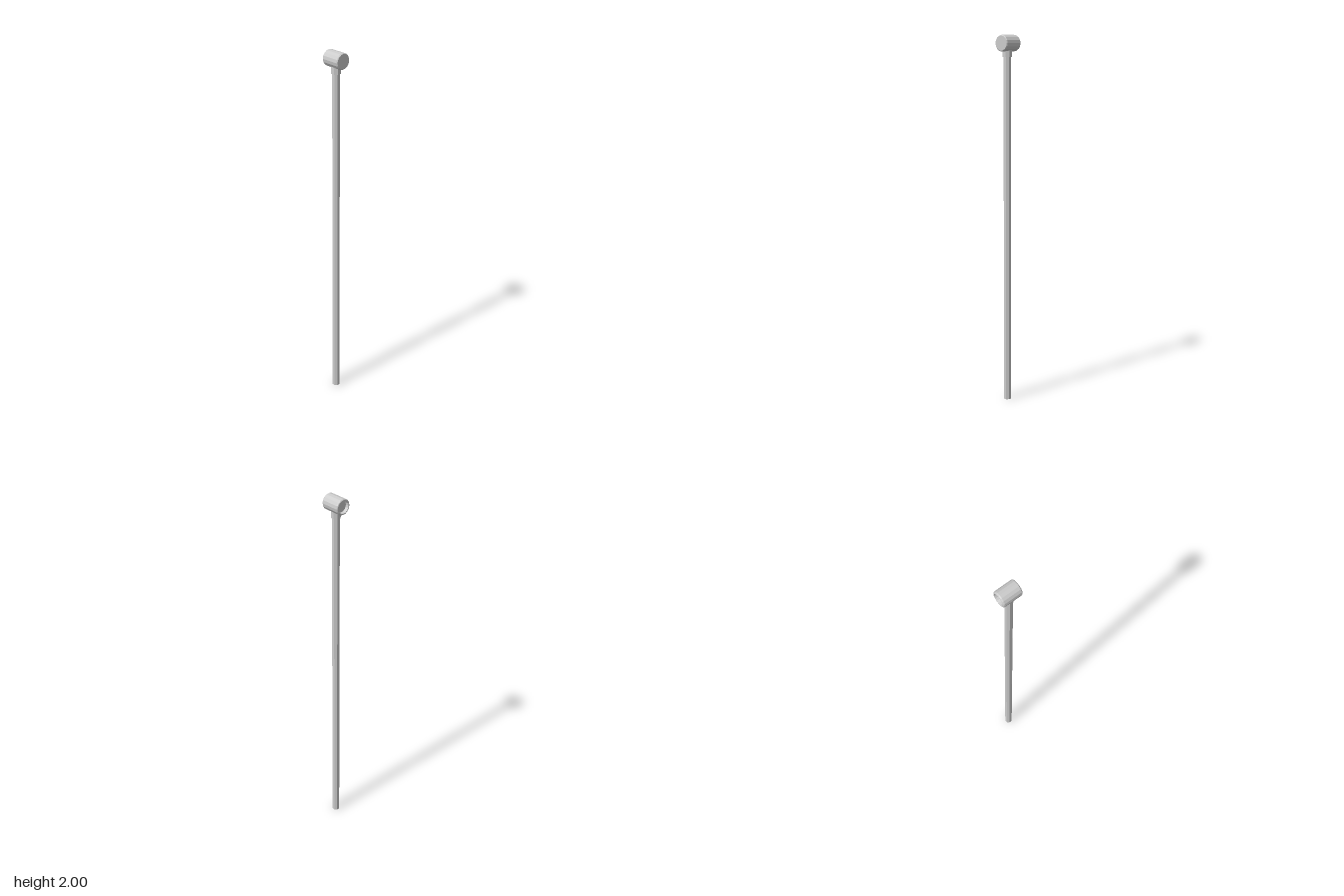
import * as THREE from 'three';

const material = new THREE.MeshStandardMaterial({ color: 0xcccccc, flatShading: true });

function addMesh(group, name, geometry, x, y, z) {
  const mesh = new THREE.Mesh(geometry, material);
  mesh.name = name;
  mesh.position.set(x, y, z);
  group.add(mesh);
  return mesh;
}

// Eight-sided prism with a flat side facing the front
function octagonPrism(radius, height) {
  return new THREE.CylinderGeometry(radius, radius, height, 8).rotateY(Math.PI / 8);
}

export function createModel() {
  const model = new THREE.Group();
  model.name = 'mallet';

  // Long handle
  addMesh(model, 'handle', octagonPrism(0.021, 1.925), 0.003, 0.9625, 0.001);

  // Collar joining handle and head
  addMesh(model, 'collar', octagonPrism(0.026, 0.045), 0.003, 1.9075, 0.001);

  // Barrel head: closed at one end, hollowed at the other, bevelled rims
  const profile = [
    [0, -0.038], [0.031, -0.038], [0.034, -0.0545], [0.038, -0.0545],
    [0.0415, -0.052], [0.0432, -0.047], [0.0432, 0.05], [0.0395, 0.0545], [0, 0.0545],
  ].map(([r, h]) => new THREE.Vector2(r, h));
  const head = new THREE.LatheGeometry(profile, 16).rotateZ(-Math.PI / 2);
  addMesh(model, 'head', head, 0, 1.9568, -0.001);

  return model;
}
